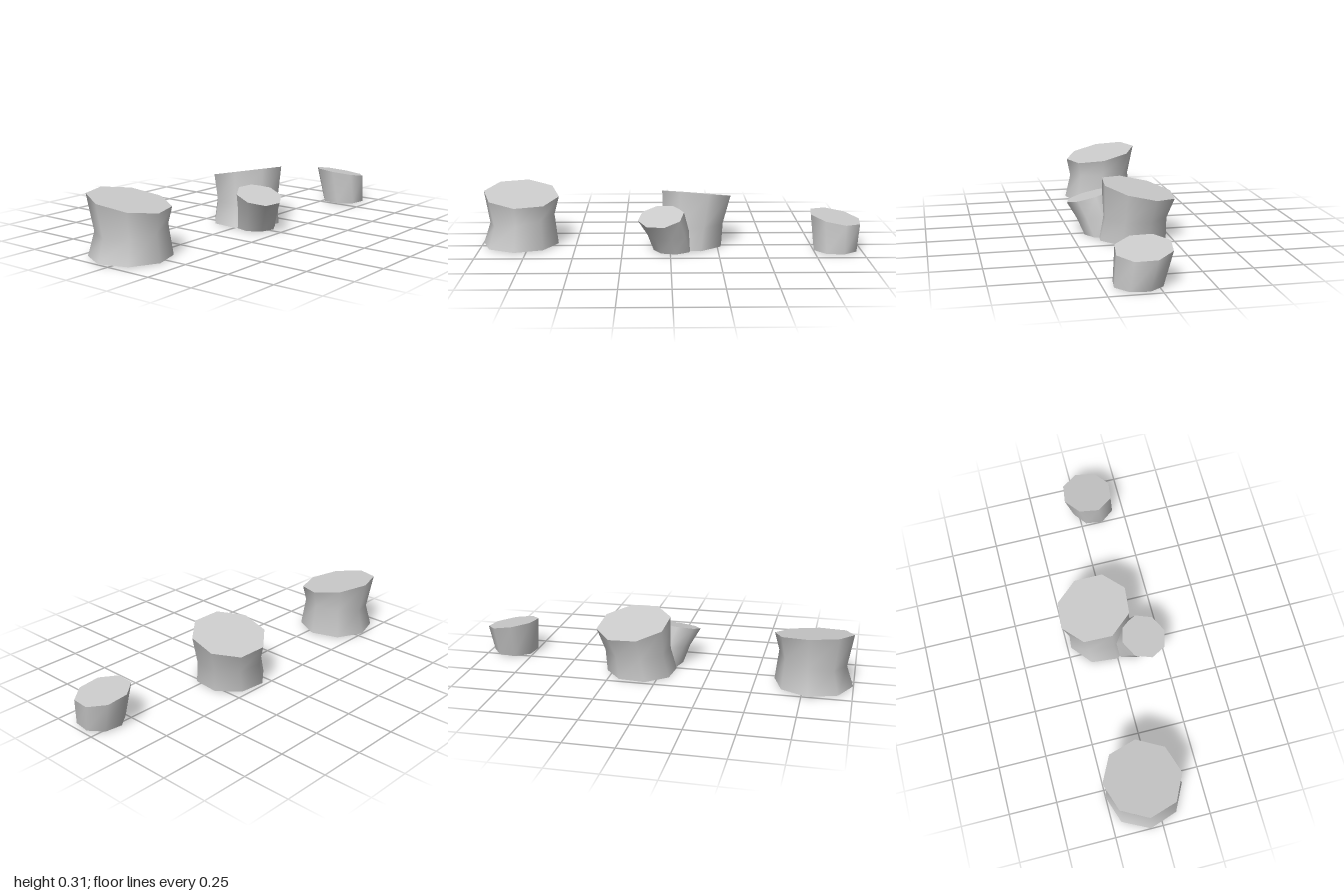
import * as THREE from 'three';

const SIDES = 8;
const material = new THREE.MeshStandardMaterial({ color: 0xcccccc, side: THREE.DoubleSide });

// One octagonal ring: centre, radius and the slopes of its plane along x and z
function ringPoints({ x, y, z, r, sx = 0, sz = 0 }, phase) {
  const points = [];
  for (let i = 0; i < SIDES; i++) {
    const a = THREE.MathUtils.degToRad(phase) + (i / SIDES) * Math.PI * 2;
    const dx = r * Math.cos(a), dz = r * Math.sin(a);
    points.push(x + dx, y + sx * dx + sz * dz, z + dz);
  }
  return points;
}

function buildGeometry(positions, index) {
  const geometry = new THREE.BufferGeometry();
  geometry.setAttribute('position', new THREE.Float32BufferAttribute(positions, 3));
  geometry.setIndex(index);
  geometry.computeVertexNormals();
  return geometry;
}

// Stump: smooth bark through the rings, flat slanted cut on top, open underneath
function createStump(name, phase, rings) {
  const stump = new THREE.Group();
  stump.name = name;

  const index = [];
  for (let k = 0; k < rings.length - 1; k++) {
    for (let i = 0; i < SIDES; i++) {
      const a = k * SIDES + i, b = k * SIDES + ((i + 1) % SIDES);
      index.push(b, a, a + SIDES, b, a + SIDES, b + SIDES);
    }
  }
  const bark = new THREE.Mesh(buildGeometry(rings.flatMap((ring) => ringPoints(ring, phase)), index), material);
  bark.name = 'bark';

  const fan = [];
  for (let i = 1; i < SIDES - 1; i++) fan.push(0, i + 1, i);
  const cut = new THREE.Mesh(buildGeometry(ringPoints(rings[rings.length - 1], phase), fan), material);
  cut.name = 'cutTop';

  stump.add(bark, cut);
  return stump;
}

export function createModel() {
  const model = new THREE.Group();
  model.name = 'treeStumps';
  model.add(
    // wide, waisted stump
    createStump('wideStump', 4, [
      { x: -0.797, y: 0.005, z: -0.05, r: 0.202 },
      { x: -0.788, y: 0.14, z: -0.052, r: 0.174, sx: 0.15 },
      { x: -0.79, y: 0.272, z: -0.06, r: 0.201, sx: -0.05, sz: -0.18 },
    ]),
    // large middle stump
    createStump('middleStump', -17, [
      { x: 0.106, y: 0.002, z: -0.055, r: 0.184 },
      { x: 0.125, y: 0.12, z: -0.065, r: 0.172 },
      { x: 0.145, y: 0.268, z: -0.08, r: 0.194, sx: -0.08, sz: 0.21 },
    ]),
    // small stump leaning out of the middle one
    createStump('leaningStump', -8, [
      { x: 0.015, y: 0.002, z: 0.08, r: 0.102 },
      { x: -0.01, y: 0.1, z: 0.11, r: 0.108, sx: 0.06, sz: -0.13 },
      { x: -0.048, y: 0.195, z: 0.145, r: 0.12, sx: 0.11, sz: -0.26 },
    ]),
    // small separate stump
    createStump('smallStump', -15, [
      { x: 0.865, y: 0.005, z: 0.087, r: 0.119 },
      { x: 0.865, y: 0.172, z: 0.06, r: 0.138, sx: -0.17, sz: -0.08 },
    ]),
  );
  return model;
}
